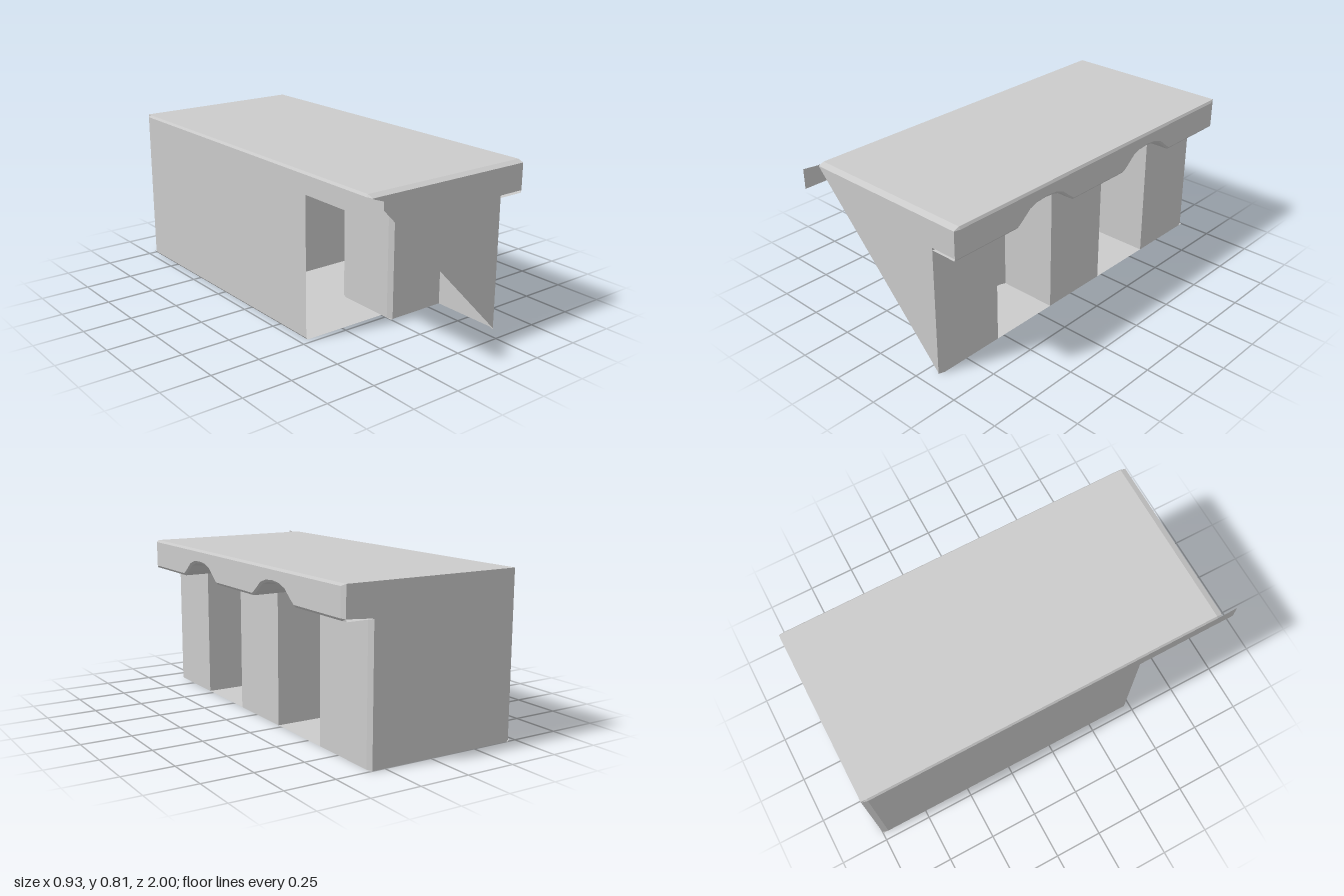
import * as THREE from 'three';

const material = new THREE.MeshStandardMaterial({ color: 0xcccccc, flatShading: true, side: THREE.DoubleSide });

// Flat panel: outline in 2D, placed in space by a rule
function panel(name, outline, place) {
  const geo = new THREE.ShapeGeometry(new THREE.Shape(outline.map(p => new THREE.Vector2(...p))));
  const pos = geo.attributes.position;
  for (let i = 0; i < pos.count; i++) pos.setXYZ(i, ...place(pos.getX(i), pos.getY(i)));
  geo.computeVertexNormals();
  const mesh = new THREE.Mesh(geo, material);
  mesh.name = name;
  return mesh;
}

// Sheet stretched over a list of cross-sections with equal point counts
function sheet(name, sections) {
  const verts = [];
  for (let i = 0; i + 1 < sections.length; i++) {
    const a = sections[i], b = sections[i + 1];
    for (let j = 0; j + 1 < a.length; j++) {
      verts.push(...a[j], ...b[j], ...b[j + 1], ...a[j], ...b[j + 1], ...a[j + 1]);
    }
  }
  const geo = new THREE.BufferGeometry();
  geo.setAttribute('position', new THREE.Float32BufferAttribute(verts, 3));
  geo.computeVertexNormals();
  const mesh = new THREE.Mesh(geo, material);
  mesh.name = name;
  return mesh;
}

const X = 0.463, XI = 0.455;         // outer side and its chamfered edge
const TOP = 0.815, RIM = 0.803;      // top surface and start of its chamfer
const WALL = 0.325, EDGE = 0.67;     // pillar face and lower edge of overhang
const BACK = -1, FRONT = 0.92, BEV = 0.03;

// Arch outline: distance along the bay and rise above the overhang edge
const arch = [[0, 0], [0.03, 0.022], [0.08, 0.063], [0.13, 0.08], [0.19, 0.085],
  [0.25, 0.08], [0.3, 0.063], [0.35, 0.022], [0.38, 0]];
const bays = [-0.6, 0.16];
const pillars = [[BACK, -0.6], [-0.22, 0.16], [0.54, FRONT]];

// Overhang section from its rim down the face and inward beneath
const overhang = (z, rise, innerX, innerY) => {
  const end = z === BACK || z === FRONT;
  const x = end ? XI : X, y = EDGE + rise;
  return [[x, RIM, z], [x, y, z], [XI - 0.002, y - 0.012, z], [innerX, innerY, z]];
};

export function createModel() {
  const group = new THREE.Group();

  // Top slab with chamfered sides and front
  const topSection = (z, x, y) => [[-x, RIM, z], [-XI, y, z], [XI, y, z], [x, RIM, z]];
  group.add(sheet('topSlab', [
    topSection(BACK, XI, TOP), topSection(BACK + BEV, X, TOP),
    topSection(FRONT - BEV, X, TOP), topSection(FRONT, XI, RIM),
  ]));

  // Back wall
  group.add(panel('backWall', [[-XI, 0.008], [-XI + 0.008, 0], [WALL - 0.01, 0], [WALL - 0.01, EDGE - 0.01],
    [XI, EDGE], [XI, TOP], [-XI, TOP]], (x, y) => [x, y, BACK]));

  // Plain side wall, its narrow strip reaching forward, and its edge chamfers
  group.add(panel('sideWall', [[BACK + BEV, 0.01], [0.47, 0.01], [0.47, 0.71], [1, 0.71], [1, 0.812],
    [FRONT, RIM], [BACK + BEV, RIM]], (z, y) => [-X, y, z]));
  group.add(sheet('sideWallBackChamfer', [
    [[-X, 0.01, BACK + BEV], [-X, RIM, BACK + BEV]], [[-XI, 0.01, BACK], [-XI, RIM, BACK]]]));
  group.add(sheet('sideWallBottomChamfer', [
    [[-X, 0.01, BACK], [-X, 0.01, 0.47]], [[-XI, 0, BACK], [-XI, 0, 0.47]]]));

  // Floor, ending short of the front
  group.add(panel('floor', [[-XI, BACK], [WALL, BACK], [WALL, 0.54], [0, 0.54], [0, 0.47], [-XI, 0.47]],
    (x, z) => [x, 0, z]));

  // Front wall, cut along a diagonal
  group.add(panel('frontWall', [[-XI, RIM], [WALL - 0.01, 0.005], [WALL - 0.01, EDGE], [XI, EDGE], [XI, RIM]],
    (x, y) => [x, y, FRONT]));

  // Pillar faces with the straight overhang above them
  for (const [z0, z1] of pillars) {
    const zs = [z0, z1];
    if (z0 === BACK) zs.splice(1, 0, BACK + BEV);
    if (z1 === FRONT) zs.splice(zs.length - 1, 0, FRONT - BEV);
    const inset = z => (z === BACK || z === FRONT ? WALL - 0.01 : WALL);
    group.add(sheet('pillarFace', zs.map(z => [[inset(z), 0, z], [inset(z), EDGE - 0.012, z]])));
    group.add(sheet('pillarOverhang', zs.map(z => overhang(z, 0, inset(z), EDGE - 0.012))));
  }

  // Recessed bays with arched, inward-sloping ceilings
  for (const z0 of bays) {
    const inner = arch.map(([d, rise], i) => {
      const x = i === 0 || i === arch.length - 1 ? 0.012 : 0;
      return [x, Math.min(EDGE + rise - 0.012, 0.7), z0 + d];
    });
    group.add(sheet('bayArch', arch.map(([d, rise], i) => overhang(z0 + d, rise, inner[i][0], inner[i][1]))));
    const path = [[WALL, EDGE - 0.012, z0], ...inner, [WALL, EDGE - 0.012, z0 + 0.38]];
    group.add(sheet('bayWalls', path.map(([x, y, z]) => [[x, 0, z], [x, y, z]])));
  }

  return group;
}
